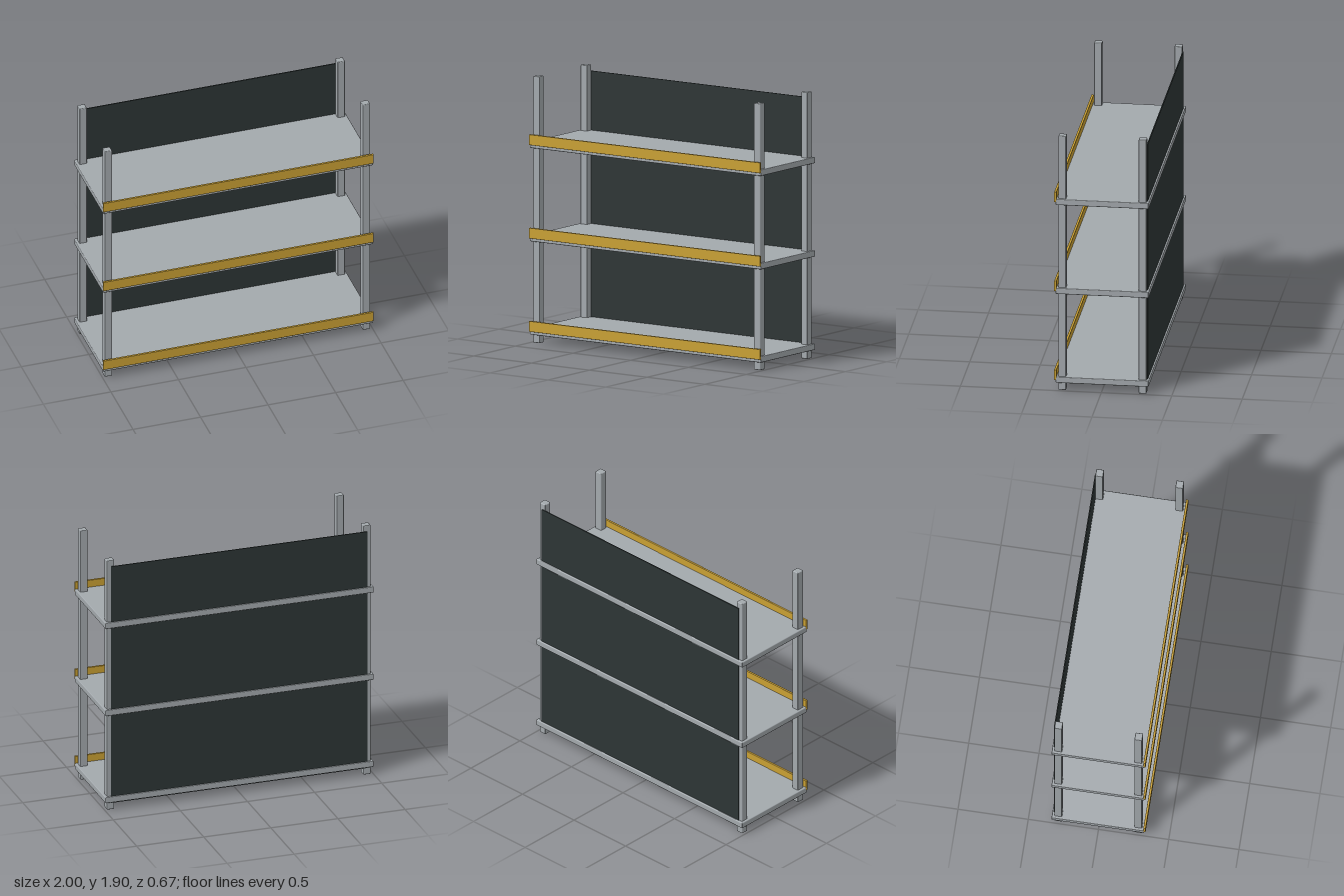
import * as THREE from 'three';
import { RoundedBoxGeometry } from 'three/addons/geometries/RoundedBoxGeometry.js';

export function createModel() {
  const material = (name, color) => {
    const m = new THREE.MeshStandardMaterial({ color });
    m.name = name;
    return m;
  };
  const steel = material('grey steel', 0xa3a9ad);
  const gold = material('yellow trim', 0xc9a033);
  const dark = material('dark panel', 0x2d3535);

  const group = new THREE.Group();
  group.name = 'shelvingUnit';

  // Box given by its [min, max] extents, with an optional edge bevel
  const addBox = (name, mat, [x0, x1], [y0, y1], [z0, z1], bevel = 0) => {
    const size = [x1 - x0, y1 - y0, z1 - z0];
    const geometry = bevel
      ? new RoundedBoxGeometry(...size, 2, bevel)
      : new THREE.BoxGeometry(...size);
    const mesh = new THREE.Mesh(geometry, mat);
    mesh.name = name;
    mesh.position.set((x0 + x1) / 2, (y0 + y1) / 2, (z0 + z1) / 2);
    group.add(mesh);
  };

  // Four corner posts
  const half = 0.0275;
  for (const [side, x] of [['Left', 0.955], ['Right', -0.955]]) {
    for (const [end, z] of [['front', 0.28], ['back', -0.29]]) {
      addBox(`${end}${side}Post`, steel, [x - half, x + half], [0, 1.904], [z - half, z + half], 0.006);
    }
  }

  // Three shelves, each with a raised front lip
  [0.08, 0.746, 1.413].forEach((y, i) => {
    addBox(`shelf${i + 1}`, steel, [-1, 1], [y - 0.022, y + 0.022], [-0.335, 0.325], 0.006);
    addBox(`frontLip${i + 1}`, gold, [-1, 1], [y, y + 0.075], [0.319, 0.335], 0.002);
  });

  // Thin back panel behind the rear posts
  addBox('backPanel', dark, [-0.955, 0.955], [0.052, 1.859], [-0.324, -0.316]);

  return group;
}
